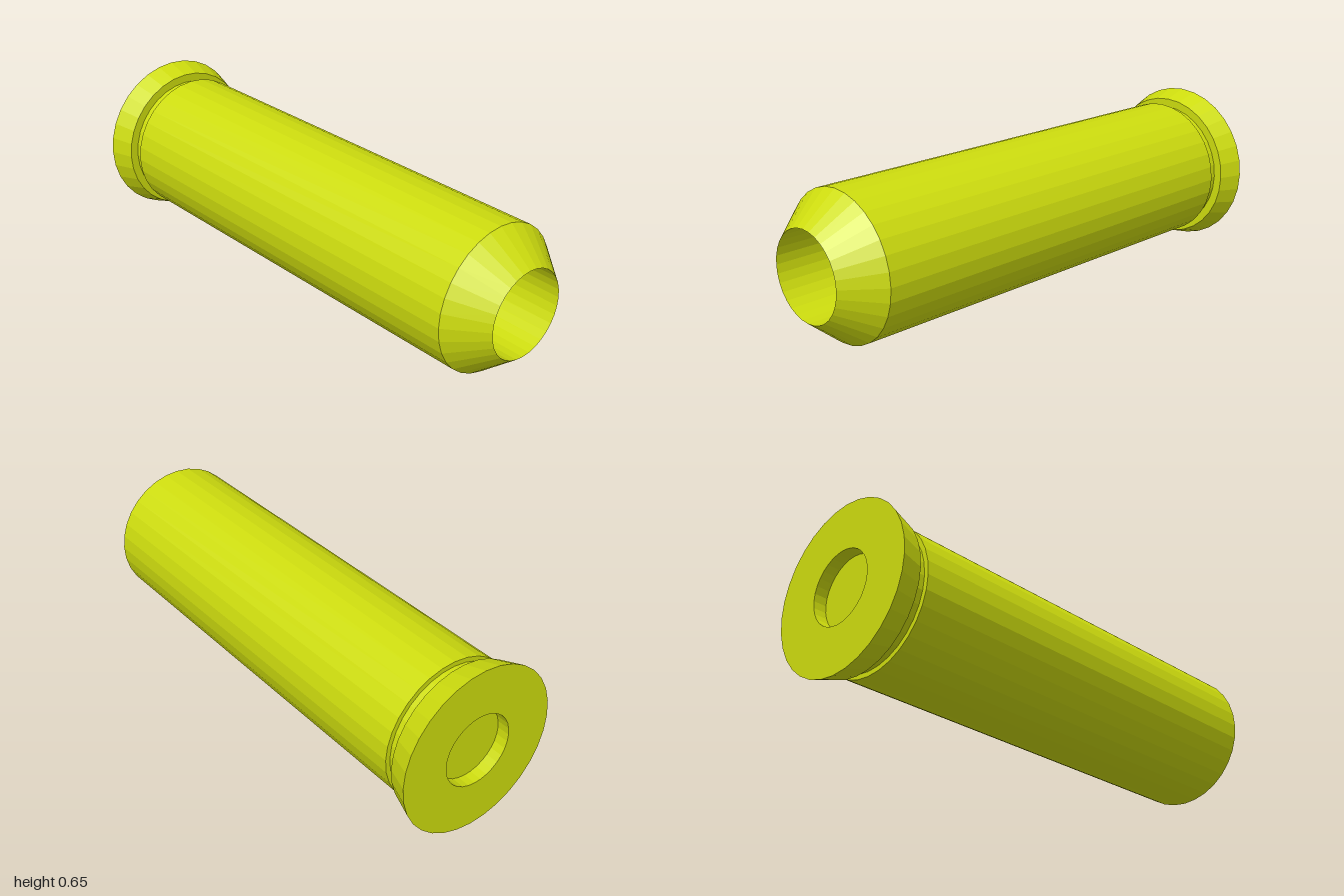
import * as THREE from 'three';

const SIDES = 32;
const AXIS_HEIGHT = 0.323;

export function createModel() {
  const group = new THREE.Group();
  group.name = 'cartridgeCase';
  const material = new THREE.MeshStandardMaterial({ color: 0xcddc0e, flatShading: true });

  // Turns a profile of [radius, z] points around the z axis
  function turned(name, profile) {
    const points = profile.map(([r, z]) => new THREE.Vector2(r, z));
    const geometry = new THREE.LatheGeometry(points, SIDES);
    geometry.rotateX(Math.PI / 2);
    const mesh = new THREE.Mesh(geometry, material);
    mesh.name = name;
    mesh.position.y = AXIS_HEIGHT;
    group.add(mesh);
  }

  // Shallow round recess in the base
  turned('primerPocket', [[0, -0.95], [0.14, -0.95], [0.14, -1]]);

  // Flared base rim with its flat back and front step
  turned('rim', [[0.14, -1], [0.323, -1], [0.293, -0.905], [0.26, -0.905]]);

  // Narrow groove between rim and body
  turned('extractorGroove', [[0.26, -0.905], [0.26, -0.86], [0.278, -0.86]]);

  // Long straight wall
  turned('body', [[0.278, -0.86], [0.278, 0.865]]);

  // Tapered end closing in to the mouth
  turned('shoulder', [[0.278, 0.865], [0.167, 1]]);

  // Deep open bore, facing inwards
  turned('bore', [[0.167, 1], [0.167, -0.8], [0, -0.8]]);

  return group;
}
